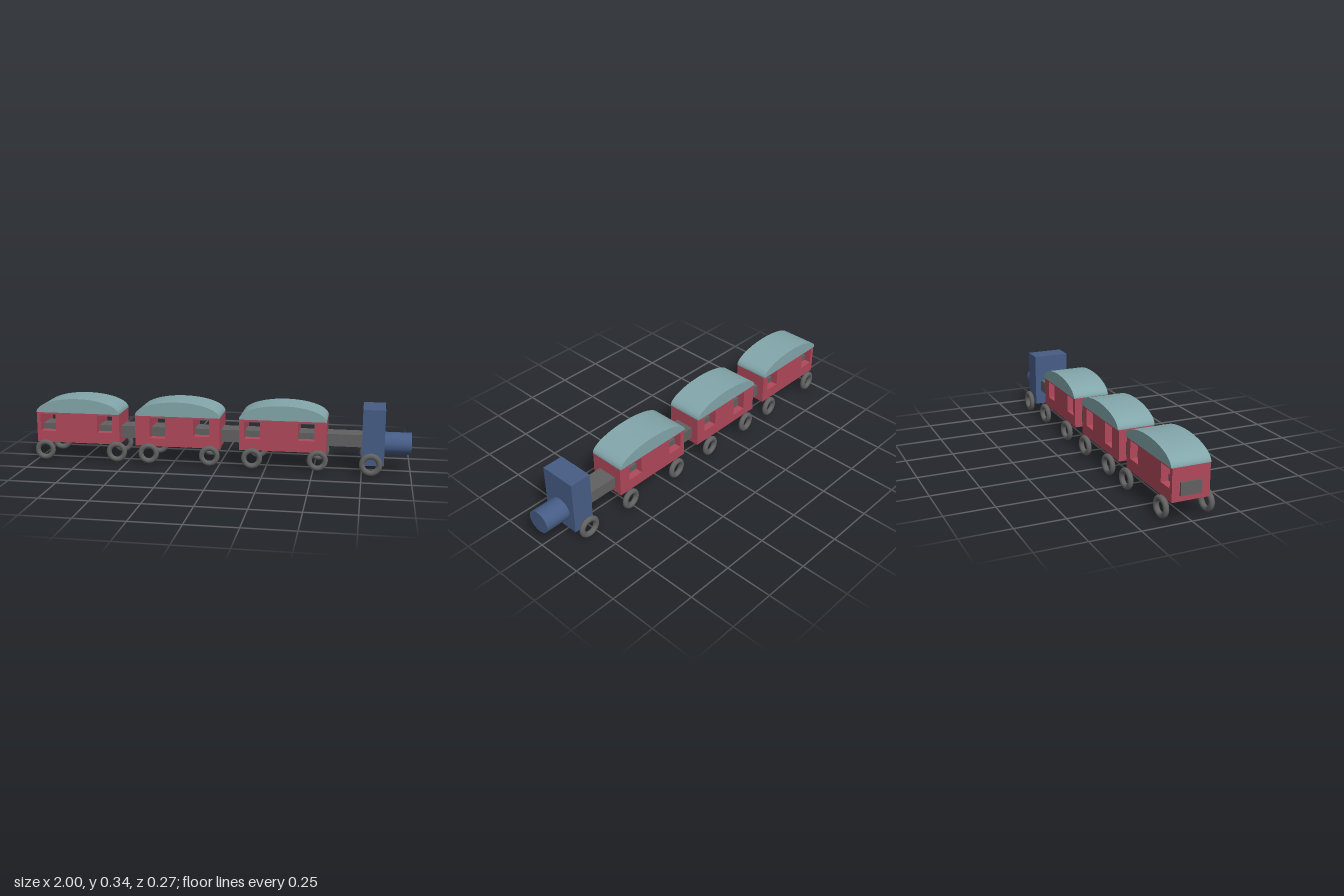
import * as THREE from 'three';

const material = (color) => new THREE.MeshStandardMaterial({ color });

export function createModel() {
  const train = new THREE.Group();
  train.name = 'toyTrain';
  const red = material(0xb0485a);
  const teal = material(0x82a6aa);
  const blue = material(0x475d86);
  const grey = material(0x616161);

  const add = (parent, name, geometry, mat, x = 0, y = 0, z = 0) => {
    const mesh = new THREE.Mesh(geometry, mat);
    mesh.name = name;
    mesh.position.set(x, y, z);
    parent.add(mesh);
    return mesh;
  };

  // Ring wheels, some slightly askew
  const wheelGeometry = new THREE.TorusGeometry(0.041, 0.014, 12, 32);
  const addWheel = (parent, x, y, z, turn, size = 1) => {
    const wheel = add(parent, 'wheel', wheelGeometry, grey, x, y, z);
    wheel.rotation.y = turn;
    wheel.scale.set(size, size, 1);
  };

  // Wagon body: a block with window openings running straight through
  const bodyGeometry = (left, right, windows) => {
    const shape = new THREE.Shape();
    shape.moveTo(left, 0.102).lineTo(right, 0.102).lineTo(right, 0.265).lineTo(left, 0.265).closePath();
    for (const [x0, x1, sill] of windows) {
      const hole = new THREE.Path();
      hole.moveTo(x0, sill).lineTo(x0, 0.255).lineTo(x1, 0.255).lineTo(x1, sill).closePath();
      shape.holes.push(hole);
    }
    return new THREE.ExtrudeGeometry(shape, { depth: 0.192, bevelEnabled: false });
  };

  // Roof: half an ellipse drawn out across the wagon
  const roofGeometry = (left, right) => {
    const shape = new THREE.Shape();
    shape.absellipse((left + right) / 2, 0.265, (right - left) / 2, 0.078, 0, Math.PI, false, 0);
    shape.closePath();
    return new THREE.ExtrudeGeometry(shape, { depth: 0.2, bevelEnabled: false, curveSegments: 40 });
  };

  // Wagons: extent, windows [x0, x1, sill], wheels [x, z]
  const wagons = [
    {
      left: -0.99, right: -0.533,
      windows: [[-0.97, -0.885, 0.163], [-0.655, -0.572, 0.163]],
      wheels: [[-0.925, -0.118], [-0.944, 0.103], [-0.57, -0.12], [-0.549, 0.092]],
    },
    {
      left: -0.445, right: 0.01,
      windows: [[-0.366, -0.283, 0.145], [-0.131, -0.045, 0.163]],
      wheels: [[-0.365, -0.12], [-0.373, 0.095], [-0.07, -0.12], [-0.045, 0.094]],
    },
    {
      left: 0.112, right: 0.567,
      windows: [[0.139, 0.222, 0.163], [0.42, 0.505, 0.163]],
      wheels: [[0.19, -0.12], [0.182, 0.107], [0.52, -0.12], [0.523, 0.094]],
    },
  ];
  for (const { left, right, windows, wheels } of wagons) {
    const wagon = new THREE.Group();
    wagon.name = 'wagon';
    add(wagon, 'wagonBody', bodyGeometry(left, right, windows), red, 0, 0, -0.101);
    add(wagon, 'wagonRoof', roofGeometry(left, right), teal, 0, 0, -0.107);
    for (const [x, z] of wheels) addWheel(wagon, x, 0.063, z, 0.1);
    train.add(wagon);
  }

  // Coupling bar running through every wagon into the engine
  add(train, 'couplingBar', new THREE.BoxGeometry(1.76, 0.065, 0.107), grey, -0.12, 0.163, -0.008);

  // Engine: upright cab, round boiler and two wheels
  const engine = new THREE.Group();
  engine.name = 'engine';
  add(engine, 'cab', new THREE.BoxGeometry(0.114, 0.292, 0.2), blue, 0.806, 0.196, 0.007);
  const boiler = add(engine, 'boiler', new THREE.CylinderGeometry(0.058, 0.058, 0.16, 40), blue, 0.92, 0.149, 0.004);
  boiler.rotation.z = -Math.PI / 2;
  boiler.scale.z = 1.12;
  for (const z of [-0.118, 0.121]) addWheel(engine, 0.796, 0.06, z, 0, 1.08);
  train.add(engine);

  return train;
}
